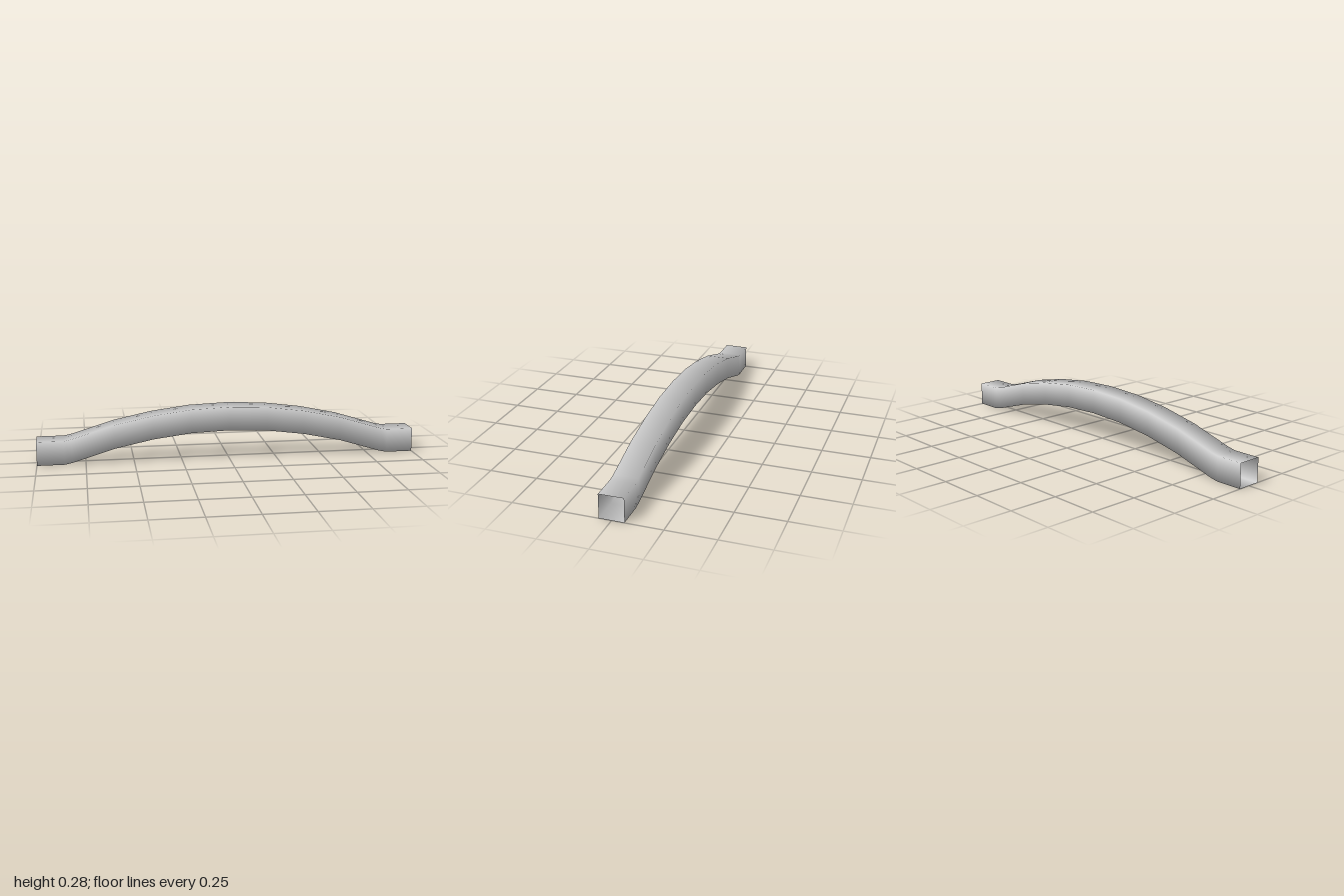
import * as THREE from 'three';

const HALF = 0.0625; // half the width of the square section

// Square tube swept through [x, centre height] stations, open at both ends
function squareTube(stations) {
  const corners = [[HALF, HALF], [HALF, -HALF], [-HALF, -HALF], [-HALF, HALF]]; // [y, z]
  const positions = [], index = [];
  for (const [x, y] of stations) {
    for (const [dy, dz] of corners) positions.push(x, y + dy, dz);
  }
  for (let i = 0; i < stations.length - 1; i++) {
    for (let j = 0; j < 4; j++) {
      const a = i * 4 + j, b = i * 4 + (j + 1) % 4, c = a + 4, d = b + 4;
      // alternate diagonals so the smooth normals stay balanced at the corners
      if (j % 2) index.push(a, c, b, b, c, d);
      else index.push(a, c, d, a, d, b);
    }
  }
  const geometry = new THREE.BufferGeometry();
  geometry.setAttribute('position', new THREE.Float32BufferAttribute(positions, 3));
  geometry.setIndex(index);
  geometry.computeVertexNormals();
  return geometry;
}

export function createModel() {
  const group = new THREE.Group();
  group.name = 'archedTube';

  // Flat end, soft bend, then the arch up to the middle; mirrored for the other half
  const half = [[-1, 0.064], [-0.86, 0.064], [-0.82, 0.072], [-0.6, 0.139], [-0.4, 0.181], [-0.2, 0.207]];
  const stations = [...half, [0, 0.215], ...half.map(([x, y]) => [-x, y]).reverse()];

  // Outward winding check is unnecessary for display: the open tube shows both sides
  const material = new THREE.MeshStandardMaterial({ color: 0xcccccc, side: THREE.DoubleSide });
  const tube = new THREE.Mesh(squareTube(stations), material);
  tube.name = 'archedBar';
  tube.position.y = -0.0015;
  group.add(tube);
  return group;
}
